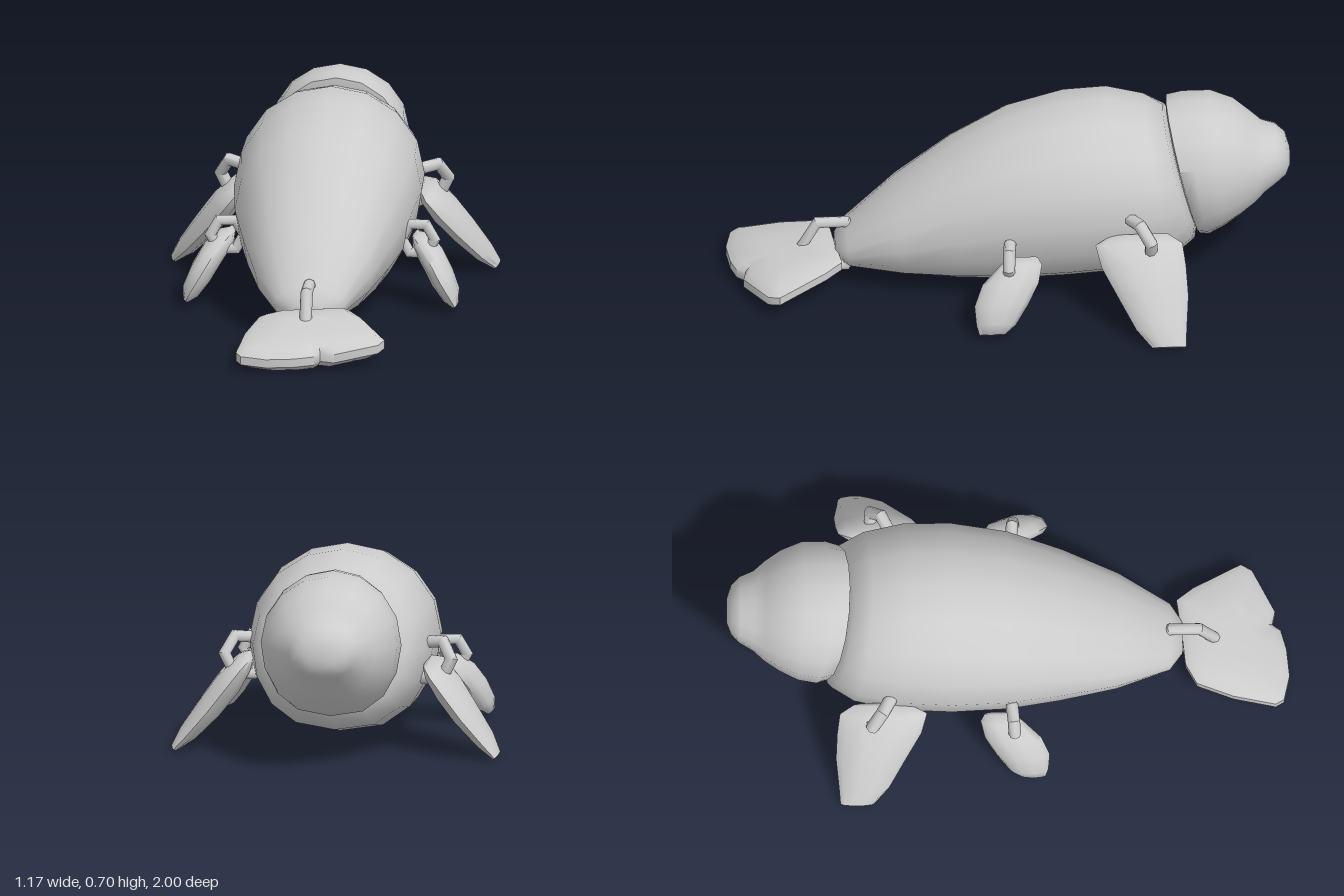
import * as THREE from 'three';
import { toCreasedNormals } from 'three/addons/utils/BufferGeometryUtils.js';

const V = (x, y, z) => new THREE.Vector3(x, y, z);

// Closed skin over rings of equal point count, with both ends capped.
function loft(rings, crease = 0.9) {
  const n = rings[0].length, pts = rings.flat(), idx = [];
  for (let r = 0; r < rings.length - 1; r++) {
    for (let i = 0; i < n; i++) {
      const a = r * n + i, b = r * n + (i + 1) % n;
      idx.push(a, b, b + n, a, b + n, a + n);
    }
  }
  const cap = (ring, start, flip) => {
    const c = pts.length;
    pts.push(ring.reduce((s, p) => s.add(p), V(0, 0, 0)).divideScalar(n));
    for (let i = 0; i < n; i++) {
      const a = start + i, b = start + (i + 1) % n;
      idx.push(c, flip ? b : a, flip ? a : b);
    }
  };
  cap(rings[0], 0, true);
  cap(rings[rings.length - 1], (rings.length - 1) * n, false);
  // Turn the skin outward if its signed volume is negative.
  let volume = 0;
  for (let i = 0; i < idx.length; i += 3) {
    volume += pts[idx[i]].dot(V(0, 0, 0).crossVectors(pts[idx[i + 1]], pts[idx[i + 2]]));
  }
  if (volume < 0) idx.reverse();
  const g = new THREE.BufferGeometry().setFromPoints(pts);
  g.setIndex(idx);
  return toCreasedNormals(g, crease);
}

// Oval ring around c with half axes u and v; power below 1 gives a fuller v- side.
function oval(c, u, v, n, power = 1) {
  return Array.from({ length: n }, (_, i) => {
    const t = (i / n) * Math.PI * 2, cos = Math.cos(t), sin = Math.sin(t);
    const k = sin < 0 ? Math.sign(cos) * Math.abs(cos) ** power : cos;
    return c.clone().addScaledVector(u, k).addScaledVector(v, sin);
  });
}

// Tilted body sections: [top z, top y, bottom z, bottom y, half width]
const trunk = (sections) => loft(sections.map(([zt, yt, zb, yb, w]) =>
  oval(V(0, (yt + yb) / 2, (zt + zb) / 2), V(w, 0, 0),
    V(0, (yt - yb) / 2, (zt - zb) / 2), 16, 0.8)), 1.1);

// Flipper sections: [x, y, z, half width along z, half thickness]
function flipper(sections, side) {
  const normal = V(side * 0.78, 0.62, 0);
  return loft(sections.map(([x, y, z, w, t]) =>
    oval(V(side * x, y, z), V(0, 0, w), normal.clone().multiplyScalar(t), 10)), 1.1);
}

export function createModel() {
  const model = new THREE.Group();
  const grey = new THREE.MeshStandardMaterial({ color: 0xcccccc });
  grey.name = 'grey';
  const add = (name, geometry) => {
    const mesh = new THREE.Mesh(geometry, grey);
    mesh.name = name;
    model.add(mesh);
    return mesh;
  };

  add('body', trunk([
    [0.62, 0.165, 0.62, 0.105, 0.06], [0.58, 0.215, 0.57, 0.075, 0.125],
    [0.4, 0.38, 0.38, 0.05, 0.21], [0.2, 0.53, 0.18, 0.035, 0.27],
    [0, 0.64, 0, 0.035, 0.315], [-0.2, 0.695, -0.2, 0.045, 0.335],
    [-0.35, 0.705, -0.42, 0.06, 0.33], [-0.48, 0.675, -0.58, 0.1, 0.3],
    [-0.55, 0.63, -0.66, 0.17, 0.26], [-0.57, 0.58, -0.67, 0.22, 0.2],
  ]));

  add('head', trunk([
    [-0.56, 0.65, -0.67, 0.2, 0.21], [-0.56, 0.68, -0.68, 0.18, 0.235],
    [-0.62, 0.69, -0.71, 0.18, 0.25], [-0.72, 0.69, -0.76, 0.21, 0.245],
    [-0.8, 0.66, -0.82, 0.25, 0.215], [-0.86, 0.61, -0.87, 0.29, 0.18],
    [-0.9, 0.575, -0.91, 0.33, 0.145], [-0.95, 0.56, -0.96, 0.37, 0.12],
    [-0.985, 0.53, -0.985, 0.39, 0.09], [-1, 0.48, -1, 0.42, 0.045],
  ]));

  // Paired flippers, each hung from a six-sided ring
  const frontSections = [
    [0.315, 0.33, -0.45, 0.1, 0.012], [0.34, 0.305, -0.445, 0.155, 0.035],
    [0.39, 0.24, -0.46, 0.15, 0.05], [0.455, 0.155, -0.49, 0.125, 0.047],
    [0.53, 0.065, -0.515, 0.09, 0.035], [0.575, 0.015, -0.54, 0.06, 0.015],
  ];
  const rearSections = [
    [0.325, 0.255, -0.035, 0.05, 0.012], [0.345, 0.235, -0.025, 0.075, 0.035],
    [0.39, 0.185, 0.015, 0.1, 0.045], [0.43, 0.12, 0.05, 0.095, 0.045],
    [0.465, 0.06, 0.07, 0.07, 0.035], [0.48, 0.03, 0.085, 0.045, 0.014],
  ];
  const link = (radius, tube) => toCreasedNormals(new THREE.TorusGeometry(radius, tube, 8, 6), 0.9);
  for (const [label, side] of [['left', 1], ['right', -1]]) {
    add(label + 'FrontFlipper', flipper(frontSections, side));
    add(label + 'RearFlipper', flipper(rearSections, side));
    const front = add(label + 'FrontRing', link(0.075, 0.024));
    front.position.set(side * 0.34, 0.335, -0.45);
    front.rotation.set(0.3, side * 0.5, 0);
    const rear = add(label + 'RearRing', link(0.06, 0.022));
    rear.position.set(side * 0.34, 0.25, 0.015);
    rear.rotation.y = side * -0.1;
  }

  const tailRing = add('tailRing', link(0.103, 0.022));
  tailRing.position.set(0, 0.133, 0.63);
  tailRing.rotation.y = Math.PI / 2;

  // Tail fin: notched outline [x, z], sloping down to the tip
  const outline = [
    [-0.17, 0.67], [-0.1, 0.63], [0, 0.62], [0.14, 0.6], [0.19, 0.66], [0.29, 0.83],
    [0.27, 0.87], [0.12, 0.95], [0.07, 0.94], [0.05, 0.97], [-0.02, 0.99],
    [-0.12, 1], [-0.21, 0.98], [-0.23, 0.95], [-0.21, 0.8],
  ];
  const layers = [[0.4, -0.046], [0.82, -0.038], [1, -0.012], [1, 0.018], [0.85, 0.038], [0.4, 0.045]];
  add('tailFin', loft(layers.map(([s, dy]) => outline.map(([x, z]) => {
    const pz = 0.8 + (z - 0.8) * s;
    return V(0.02 + (x - 0.02) * s, 0.08 - (pz - 0.8) * 0.21 + dy, pz);
  })), 0.75));

  return model;
}
